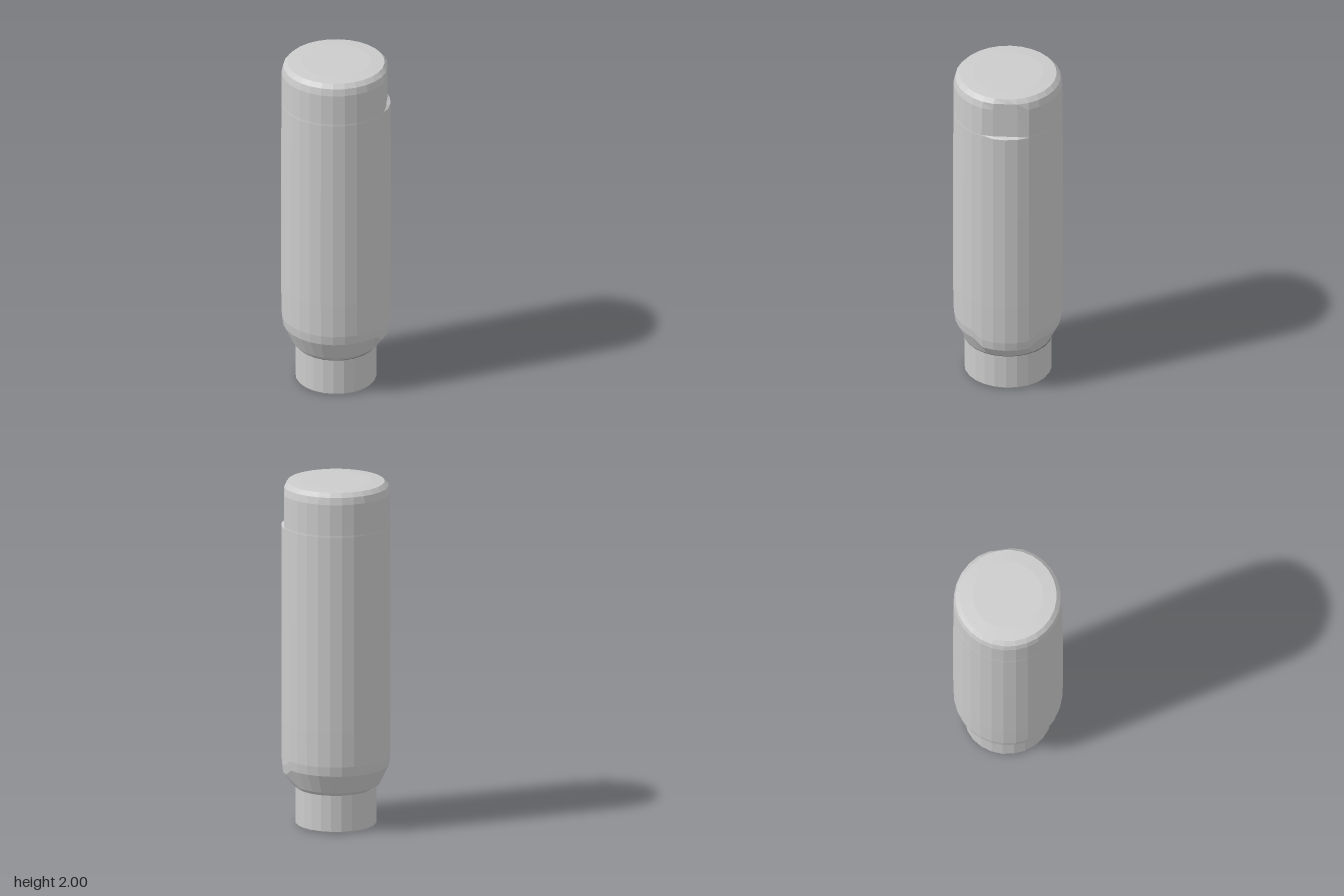
import * as THREE from 'three';

const material = new THREE.MeshStandardMaterial({ color: 0xcccccc, flatShading: true });

// Turned part from [radius, y] pairs, bottom to top, with an optional rule that moves each vertex
function turned(name, profile, sides, rule) {
  const points = profile.map(([r, y]) => new THREE.Vector2(r, y));
  const geometry = new THREE.LatheGeometry(points, sides);
  if (rule) {
    const pos = geometry.attributes.position;
    const v = new THREE.Vector3();
    for (let i = 0; i < pos.count; i++) {
      rule(v.fromBufferAttribute(pos, i));
      pos.setXYZ(i, v.x, v.y, v.z);
    }
    geometry.computeVertexNormals();
  }
  const mesh = new THREE.Mesh(geometry, material);
  mesh.name = name;
  return mesh;
}

// The neck is slightly narrower from side to side
const narrow = (v) => { v.x *= 0.93; };

// The lower rim dips on the left side
const dip = (v) => {
  if (v.y > 0.3 && v.y < 0.45 && v.x > 0.25) v.y -= 0.04;
};

export function createModel() {
  const group = new THREE.Group();
  group.name = 'bottle';

  // Short neck, closed at the bottom
  group.add(turned('neck', [[0, 0], [0.24, 0], [0.247, 0.01], [0.247, 0.22]], 24, narrow));

  // Tapered shoulder between neck and body
  group.add(turned('shoulder', [[0.23, 0.215], [0.247, 0.235], [0.3, 0.345]], 28, (v) => {
    if (v.y < 0.22) narrow(v);
    dip(v);
  }));

  // Tall body with a rounded, flat-topped end, cut back slightly on the upper left side
  group.add(turned('body', [
    [0.3, 0.345], [0.308, 0.4], [0.311, 0.6], [0.311, 1.2], [0.309, 1.74],
    [0.308, 1.75], [0.307, 1.93], [0.298, 1.97], [0.275, 1.994], [0.2, 2], [0, 2],
  ], 28, (v) => {
    dip(v);
    if (v.y > 1.745) v.x = Math.min(v.x, 0.287);
  }));

  return group;
}
